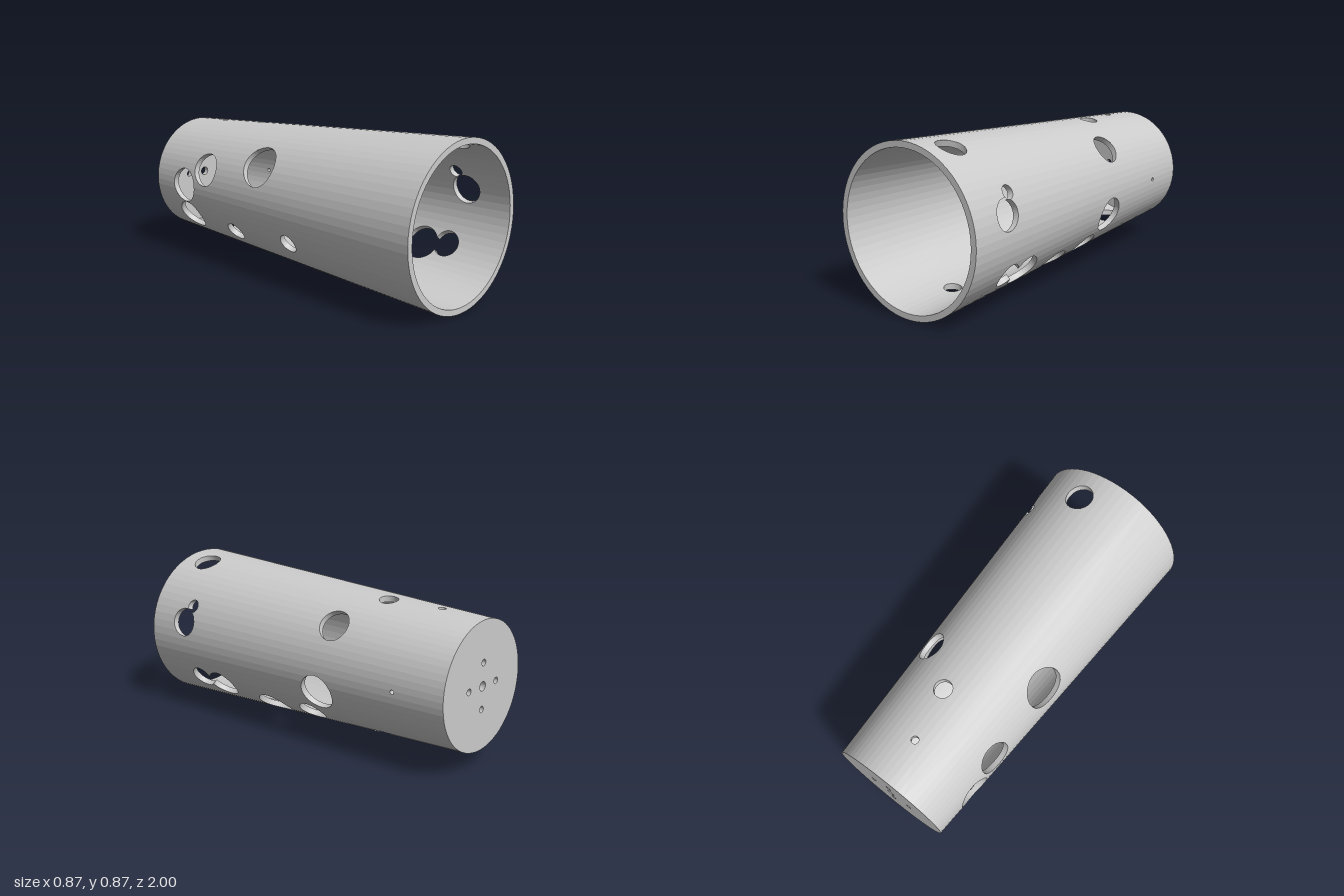
import * as THREE from 'three';

const SIDES = 64, SEAM = 112.5, WALL = 0.032, BACK = -1, FLOOR = -0.97, CENTRE_Y = 0.437;
const outerRadius = z => 0.386 + 0.051 * z;

// Wall openings: one or two overlapping circles, each [angle in degrees from +x, z, radius]
const OPENINGS = [
  [[70.2, 0.83, 0.077]],
  [[13.4, 0.745, 0.08], [27, 0.7, 0.036]],
  [[40, -0.29, 0.085]],
  [[-19, -0.23, 0.1]],
  [[-37.7, 0.52, 0.095], [-33.9, 0.669, 0.071]],
  [[-53.4, 0.18, 0.107]],
  [[-47.9, -0.115, 0.08]],
  [[-66.8, -0.527, 0.067]],
  [[-90, -0.82, 0.102]],
  [[-95.5, 0.64, 0.047]],
  [[149, -0.1, 0.116]],
  [[161, -0.54, 0.095]],
  [[180, -0.73, 0.098]],
  [[213, -0.725, 0.095]],
  [[216, -0.33, 0.06]],
  [[208, 0.14, 0.055]],
  [[81.3, -0.46, 0.05]],
  [[90, -0.75, 0.02]],
  [[-1, -0.715, 0.011]],
];

// Unrolled coordinates: x counts facets around the axis, y is the position along z
const toFacet = deg => (((deg - SEAM) % 360 + 360) % 360) / 360 * SIDES;

function place(p, inset) {
  const r = outerRadius(p.y) - inset;
  const k = Math.min(SIDES - 1, Math.floor(p.x + 1e-9));
  const corner = n => {
    const a = (SEAM + n * 360 / SIDES) * Math.PI / 180;
    return new THREE.Vector3(r * Math.cos(a), r * Math.sin(a), p.y);
  };
  return corner(k).lerp(corner(k + 1), p.x - k);
}

// Outline of an opening on the wall surface, traced by rays from a point all its circles share
function openingLoop(circles, inset) {
  const [deg, z0] = circles[0];
  const R = outerRadius(z0);
  const discs = circles.map(([d, z, r]) =>
    ({ c: new THREE.Vector2((d - deg) * Math.PI / 180 * R, z - z0), r }));
  const origin = new THREE.Vector2();
  if (discs.length > 1) {
    const d = discs[1].c.length();
    origin.copy(discs[1].c).multiplyScalar((discs[0].r + d - discs[1].r) / 2 / d);
  }
  const rays = circles.length > 1 ? 80 : 40;
  return Array.from({ length: rays }, (_, i) => {
    const a = i / rays * Math.PI * 2;
    const dir = new THREE.Vector2(Math.cos(a), Math.sin(a));
    const reach = Math.max(...discs.map(({ c, r }) => {
      const to = c.clone().sub(origin), along = to.dot(dir);
      return along + Math.sqrt(Math.max(0, along * along - to.lengthSq() + r * r));
    }));
    const q = origin.clone().addScaledVector(dir, reach);
    const turn = Math.asin(q.x / (R - inset)) * 180 / Math.PI;
    return new THREE.Vector2(toFacet(deg + turn), z0 + q.y);
  });
}

// Keep the part of a polygon where sign * (x - limit) >= 0
function clip(poly, limit, sign) {
  const out = [];
  poly.forEach((a, i) => {
    const b = poly[(i + 1) % poly.length];
    const da = sign * (a.x - limit), db = sign * (b.x - limit);
    if (da >= 0) out.push(a);
    if (da * db < 0) out.push(a.clone().lerp(b, da / (da - db)));
  });
  return out;
}

function toGeometry(points) {
  const g = new THREE.BufferGeometry().setFromPoints(points);
  g.computeVertexNormals();
  return g;
}

// Tapered wall surface with openings, cut into flat facets
function wallSurface(inset, zBack, inward) {
  const contour = [[0, zBack], [SIDES, zBack], [SIDES, 1], [0, 1]].map(p => new THREE.Vector2(...p));
  const holes = OPENINGS.map(o => openingLoop(o, inset));
  const faces = THREE.ShapeUtils.triangulateShape(contour, holes.map(h => h.slice().reverse()));
  const all = contour.concat(...holes.map(h => h.slice().reverse()));
  const out = [];
  for (const face of faces) {
    let tri = face.map(i => all[i]);
    if (THREE.ShapeUtils.area(tri) < 0) tri.reverse();
    const xs = tri.map(p => p.x);
    for (let k = Math.floor(Math.min(...xs)); k < Math.max(...xs); k++) {
      const poly = clip(clip(tri, k, 1), k + 1, -1);
      // Points on a facet boundary are placed exactly, so neighbours meet
      const pts = poly.map(p => place(p, inset));
      for (let i = 1; i + 1 < pts.length; i++) {
        if (inward) out.push(pts[0], pts[i + 1], pts[i]);
        else out.push(pts[0], pts[i], pts[i + 1]);
      }
    }
  }
  return toGeometry(out);
}

// Band joining an outer loop to an inner loop
function band(outer, inner) {
  const out = [];
  outer.forEach((o, i) => {
    const j = (i + 1) % outer.length;
    out.push(o, outer[j], inner[j], o, inner[j], inner[i]);
  });
  return toGeometry(out);
}

export function createModel() {
  const model = new THREE.Group();
  const material = new THREE.MeshStandardMaterial({ color: 0xcccccc });
  const body = new THREE.Group();
  body.name = 'taperedTube';
  body.position.y = CENTRE_Y;
  model.add(body);
  const add = (name, geometry) => {
    const mesh = new THREE.Mesh(geometry, material);
    mesh.name = name;
    body.add(mesh);
    return mesh;
  };

  add('outerWall', wallSurface(0, BACK, false));
  add('innerWall', wallSurface(WALL, FLOOR, true));

  // Thickness of the wall around each opening
  OPENINGS.forEach((o, i) => add('openingEdge' + (i + 1), band(
    openingLoop(o, 0).map(p => place(p, 0)),
    openingLoop(o, WALL).map(p => place(p, WALL)))));

  // Rim at the open front
  const ring = (z, inset) => Array.from({ length: SIDES }, (_, i) => place(new THREE.Vector2(i, z), inset));
  add('frontRim', band(ring(1, 0), ring(1, WALL)));

  // Closed back with a centre hole and four small holes
  const disc = new THREE.Shape(ring(BACK, 0).map(p => new THREE.Vector2(p.x, p.y)));
  const bore = (x, y, r) => disc.holes.push(new THREE.Path().absarc(x, y, r, 0, Math.PI * 2, true));
  bore(0, 0, 0.025);
  for (const s of [-0.12, 0.12]) {
    bore(s, 0, 0.017);
    bore(0, s, 0.017);
  }
  add('backPlate', new THREE.ExtrudeGeometry(disc, { depth: FLOOR - BACK, bevelEnabled: false, curveSegments: 16 }))
    .position.z = BACK;

  return model;
}
